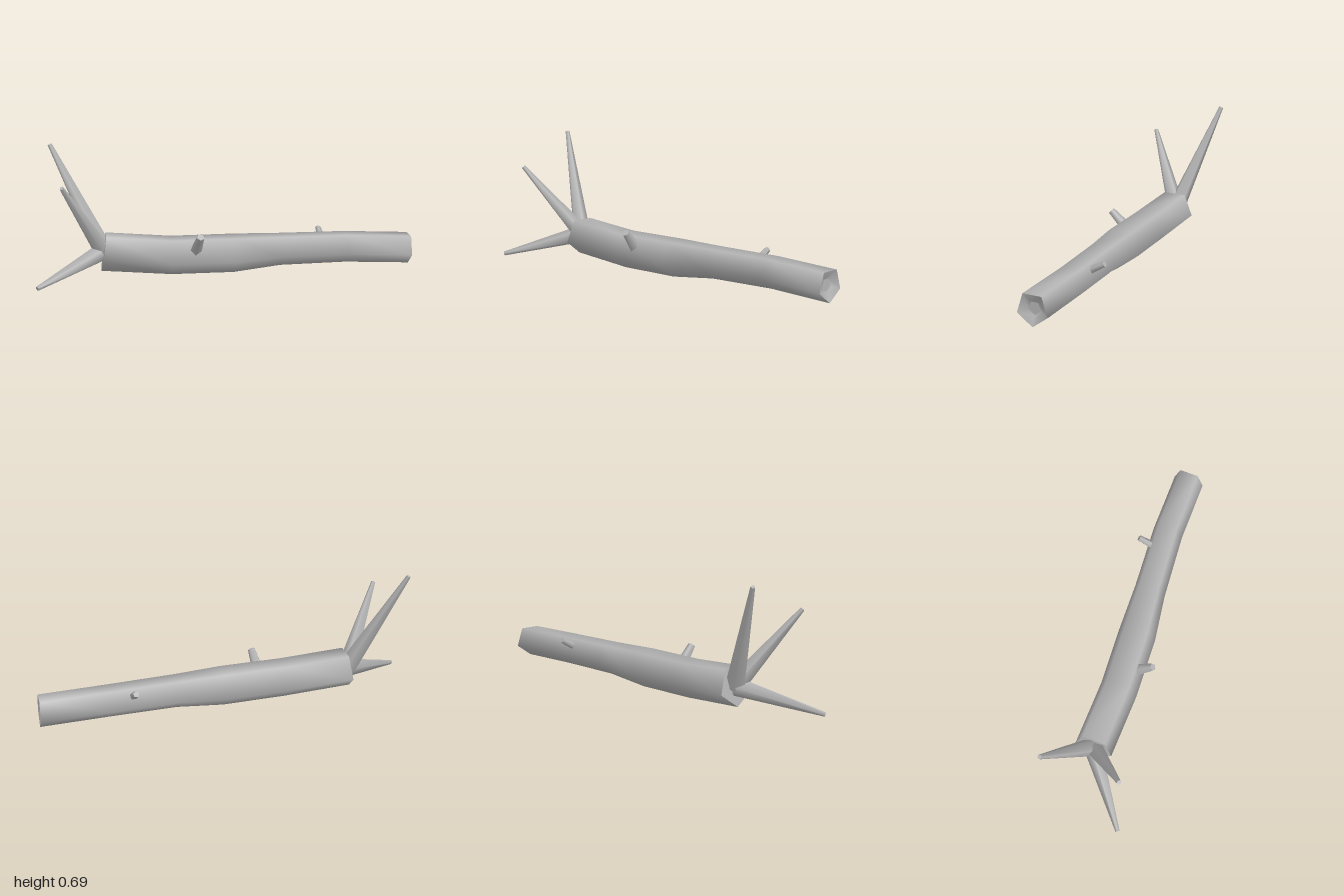
import * as THREE from 'three';

const SIDES = 5;

// One pentagon ring, point downward: [x, y, z, radius, lean of x with height]
function ring([x, y, z, r, lean = 0]) {
  const points = [];
  for (let i = 0; i < SIDES; i++) {
    const a = -Math.PI / 2 + (i / SIDES) * Math.PI * 2;
    const dy = Math.sin(a) * r;
    points.push(x + dy * lean, y + dy, z + Math.cos(a) * r);
  }
  return points;
}

// Smooth skin over rings that run along +x
function loft(sections) {
  const index = [];
  for (let s = 0; s < sections.length - 1; s++) {
    for (let i = 0; i < SIDES; i++) {
      const j = (i + 1) % SIDES;
      const a = s * SIDES + i, b = s * SIDES + j;
      index.push(a, a + SIDES, b, b, a + SIDES, b + SIDES);
    }
  }
  return build(sections.flatMap(ring), index);
}

// Flat pentagon closing a ring, facing +x or -x
function cap(section, facing) {
  const index = [];
  for (let i = 1; i < SIDES - 1; i++) {
    index.push(0, ...(facing > 0 ? [i + 1, i] : [i, i + 1]));
  }
  return build(ring(section), index);
}

function build(positions, index) {
  const g = new THREE.BufferGeometry();
  g.setAttribute('position', new THREE.Float32BufferAttribute(positions, 3));
  g.setIndex(index);
  g.computeVertexNormals();
  return g;
}

export function createModel() {
  const model = new THREE.Group();
  model.name = 'branchedLog';
  const wood = new THREE.MeshStandardMaterial({ color: 0xb5b5b5 });
  wood.name = 'greyWood';

  function add(name, geometry) {
    const mesh = new THREE.Mesh(geometry, wood);
    mesh.name = name;
    model.add(mesh);
    return mesh;
  }

  // Tapered five-sided limb between two points
  function limb(name, from, to, r0, r1) {
    const a = new THREE.Vector3(...from), b = new THREE.Vector3(...to);
    const dir = b.clone().sub(a);
    const mesh = add(name, new THREE.CylinderGeometry(r1, r0, dir.length(), SIDES));
    mesh.position.copy(a).add(b).multiplyScalar(0.5);
    mesh.quaternion.setFromUnitVectors(new THREE.Vector3(0, 1, 0), dir.normalize());
  }

  // Gently bending trunk
  const trunk = [
    [-0.652, 0.14, -0.032, 0.105, 0.14],
    [-0.3, 0.111, -0.032, 0.106],
    [0.03, 0.107, -0.055, 0.107],
    [0.28, 0.114, -0.08, 0.09],
    [0.64, 0.109, -0.113, 0.087],
    [0.988, 0.092, -0.12, 0.087],
  ];
  add('trunk', loft(trunk));
  add('branchEndCap', cap(trunk[0], -1));

  // Hollowed cut end with a small flat core
  const core = [0.965, 0.092, -0.12, 0.035];
  add('cutEndHollow', loft([trunk[5], core]));
  add('cutEndCore', cap(core, 1));

  // Three long branches fanning out from the thick end
  const fork = [-0.65, 0.14, -0.035];
  limb('tallBranch', fork, [-0.915, 0.68, -0.18], 0.05, 0.012);
  limb('middleBranch', fork, [-0.86, 0.52, 0.2], 0.05, 0.012);
  limb('lowBranch', fork, [-0.993, 0.022, 0.236], 0.05, 0.012);

  // Short broken twigs
  limb('frontStub', [-0.183, 0.125, 0.008], [-0.163, 0.23, 0.108], 0.034, 0.02);
  limb('backStub', [0.516, 0.125, -0.12], [0.512, 0.187, -0.233], 0.024, 0.016);

  return model;
}
